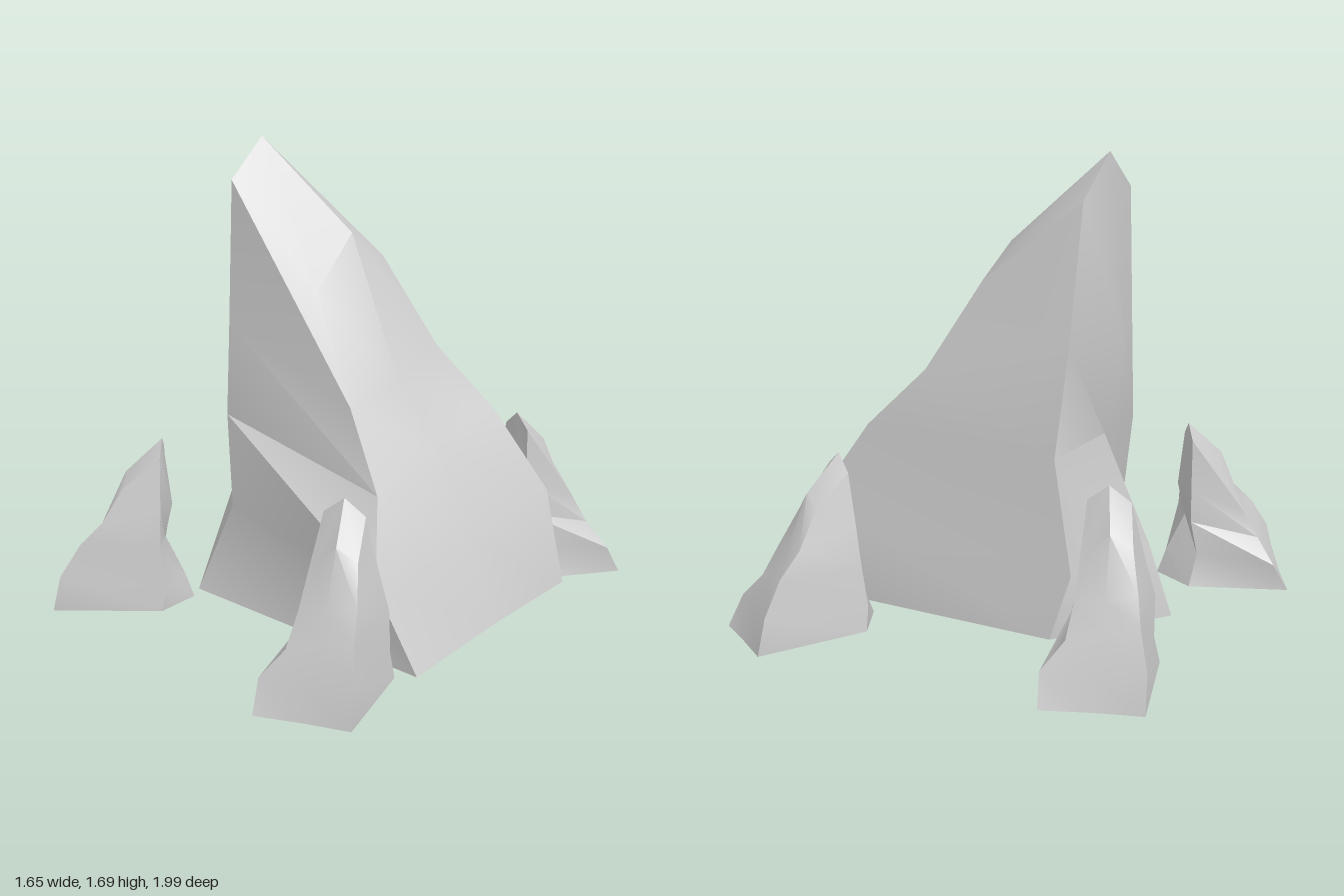
import * as THREE from 'three';
import { toCreasedNormals } from 'three/addons/utils/BufferGeometryUtils.js';

// Corner edges of the rock, each listed from the base up to the cap,
// going round: pointed side, back, slope back, slope middle, slope front, front.
const EDGES = [
  [[-0.59, 0.05, -0.06], [-0.50, 0.30, -0.06], [-0.31, 0.69, -0.05], [-0.39, 1.03, -0.06], [-0.30, 1.69, -0.01]],
  [[-0.32, 0.06, -0.48], [-0.37, 0.28, -0.42], [-0.31, 0.69, -0.43], [-0.31, 1.05, -0.33], [-0.30, 1.54, -0.21]],
  [[0.75, 0.05, -0.47], [0.67, 0.40, -0.47], [0.48, 0.70, -0.39], [0.26, 0.92, -0.34], [0.06, 1.25, -0.27]],
  [[0.715, 0.03, -0.02], [0.62, 0.32, -0.02], [0.43, 0.62, -0.06], [0.27, 0.85, -0.06], [0.06, 1.36, -0.07]],
  [[0.69, 0.00, 0.45], [0.53, 0.28, 0.46], [0.40, 0.52, 0.26], [0.25, 0.80, 0.21], [0.05, 1.17, 0.13]],
  [[-0.33, 0.04, 0.36], [-0.235, 0.36, 0.27], [-0.295, 0.69, 0.22], [-0.295, 1.03, 0.20], [-0.29, 1.55, 0.18]],
];

function rockGeometry() {
  const sides = EDGES.length, levels = EDGES[0].length, top = levels - 1;
  const at = (side, level) => (side % sides) * levels + level;
  const index = [];
  const quad = (a, b, c, d) => index.push(a, b, c, a, c, d);

  // walls
  for (let i = 0; i < sides; i++)
    for (let l = 0; l < top; l++)
      quad(at(i, l), at(i, l + 1), at(i + 1, l + 1), at(i + 1, l));

  // ridged cap
  quad(at(0, top), at(3, top), at(2, top), at(1, top));
  quad(at(0, top), at(5, top), at(4, top), at(3, top));

  // underside
  for (let i = 1; i < sides - 1; i++) index.push(at(0, 0), at(i, 0), at(i + 1, 0));

  const geometry = new THREE.BufferGeometry();
  geometry.setAttribute('position', new THREE.Float32BufferAttribute(EDGES.flat(2), 3));
  geometry.setIndex(index);
  return toCreasedNormals(geometry, 0.55);
}

export function createModel() {
  const group = new THREE.Group();
  group.name = 'rockFormation';
  const geometry = rockGeometry();
  const material = new THREE.MeshStandardMaterial({ color: 0xcccccc, roughness: 0.9 });

  // one tall rock with four small turned copies around it
  const rocks = [
    // name, x, z, scale, turn in degrees
    ['mainRock', 0, 0, 1, 0],
    ['frontLeftRock', 0.515, 0.695, 0.37, -75.5],
    ['backLeftRock', 0.54, -0.67, 0.38, 60],
    ['backRightRock', -0.56, -0.56, 0.38, 108.7],
    ['frontRightRock', -0.526, 0.487, 0.37, 213.8],
  ];
  for (const [name, x, z, scale, turn] of rocks) {
    const rock = new THREE.Mesh(geometry, material);
    rock.name = name;
    rock.position.set(x, 0, z);
    rock.scale.setScalar(scale);
    rock.rotation.y = THREE.MathUtils.degToRad(turn);
    group.add(rock);
  }
  return group;
}
